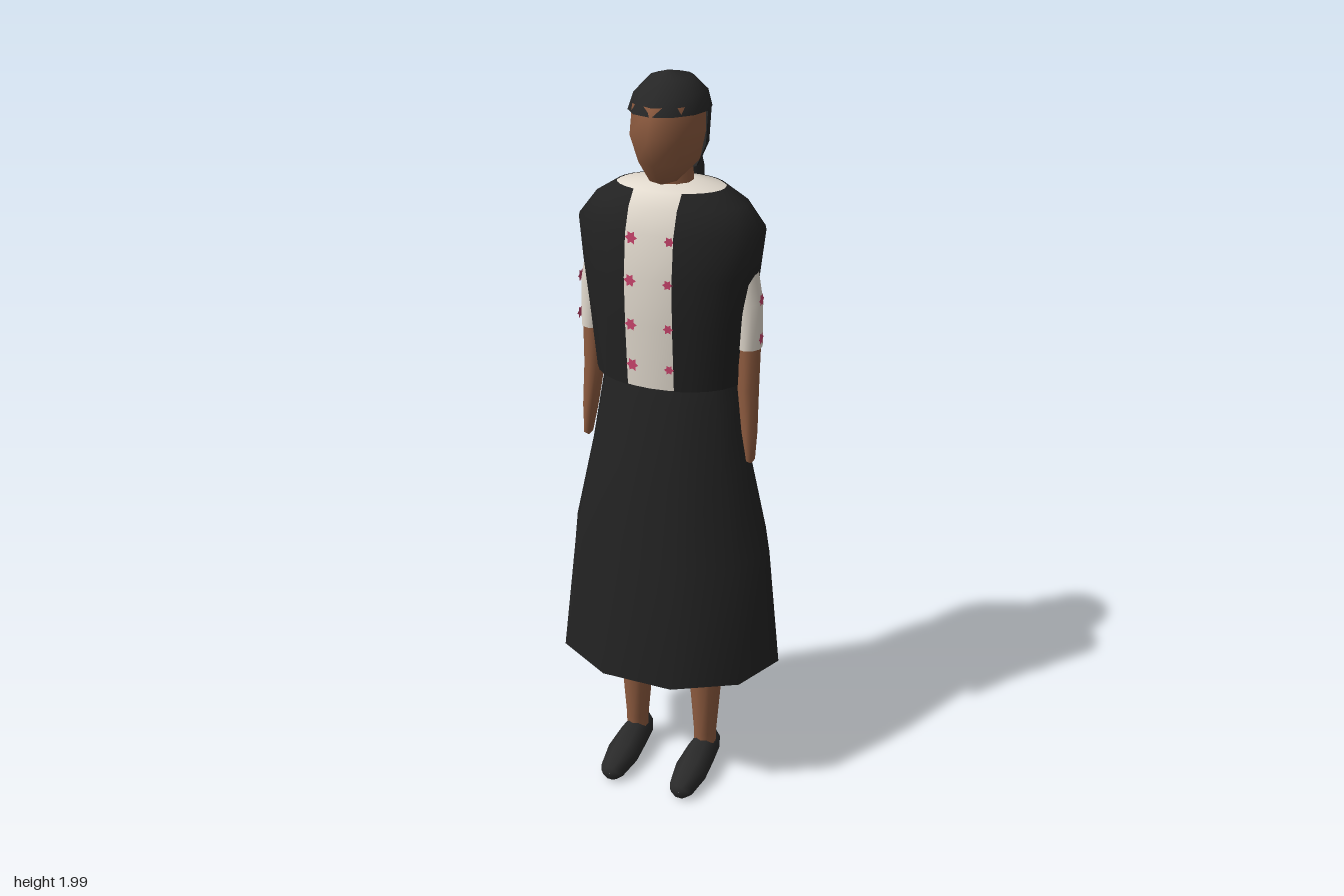
import * as THREE from 'three';

const mat = (name, color, side = THREE.FrontSide) => {
  const m = new THREE.MeshStandardMaterial({ color, side });
  m.name = name;
  return m;
};

// Smooth loft through rings [y, rx, zFront, zBack, cx, cz], from a0 to a1 (0 = front, toward +x)
function loft(rings, n = 12, a0 = 0, a1 = Math.PI * 2) {
  const closed = a1 - a0 > 6.28;
  const cols = closed ? n : n + 1;
  const pos = [], idx = [];
  for (const [y, rx, zf, zb, cx = 0, cz = 0] of rings) {
    // an opening may be given as a half-width, so that its edges run straight
    for (let i = 0; i < cols; i++) {
      const a = a0 + (a1 - a0) * i / n, c = Math.cos(a);
      pos.push(cx + rx * Math.sin(a), y, cz + (c > 0 ? zf : zb) * c);
    }
  }
  for (let j = 0; j < rings.length - 1; j++) {
    for (let i = 0; i < n; i++) {
      const k = (i + 1) % cols;
      const a = j * cols + i, b = j * cols + k, c = a + cols, d = b + cols;
      idx.push(a, b, d, a, d, c);
    }
  }
  const g = new THREE.BufferGeometry();
  g.setAttribute('position', new THREE.Float32BufferAttribute(pos, 3));
  g.setIndex(idx);
  g.computeVertexNormals();
  return g;
}

// Vest: front edges stay at a fixed half-width on every section
function openLoft(rings, half, n) {
  const g = loft(rings, n, 0, Math.PI * 2 - 0.01);
  const p = g.attributes.position;
  rings.forEach(([y, rx, zf, zb], j) => {
    const start = Math.asin(half / rx);
    for (let i = 0; i <= n; i++) {
      const a = start + (Math.PI * 2 - 2 * start) * i / n, c = Math.cos(a);
      p.setXYZ(j * (n + 1) + i, rx * Math.sin(a), y, (c > 0 ? zf : zb) * c);
    }
  });
  g.computeVertexNormals();
  return g;
}

// Small ragged blossom
function blossom(r) {
  const s = new THREE.Shape();
  for (let i = 0; i < 12; i++) {
    const q = i % 2 ? r * 0.6 : r, a = i * Math.PI / 6;
    s[i ? 'lineTo' : 'moveTo'](q * Math.cos(a), q * Math.sin(a));
  }
  return new THREE.ShapeGeometry(s);
}

export function createModel() {
  const group = new THREE.Group();
  const black = mat('blackCloth', 0x222222, THREE.DoubleSide);
  const hairMat = mat('hair', 0x262626, THREE.DoubleSide);
  const shoeMat = mat('shoe', 0x2a2a2a);
  const skin = mat('skin', 0x8f5c40);
  const white = mat('shirt', 0xe2dace, THREE.DoubleSide);
  const pink = mat('blossom', 0xc8446c, THREE.DoubleSide);
  const add = (name, geo, m) => {
    const mesh = new THREE.Mesh(geo, m);
    mesh.name = name;
    group.add(mesh);
    return mesh;
  };

  // Skirt, ten-sided and open at the hem
  const s = Math.PI / 10;
  add('skirt', loft([
    [0.41, 0.322, 0.255, 0.255], [0.75, 0.285, 0.208, 0.215], [1.0, 0.228, 0.17, 0.168],
    [1.18, 0.195, 0.132, 0.135], [1.24, 0.18, 0.118, 0.12],
  ], 10, s, s + Math.PI * 2), black);

  // Vest and the shirt inside it
  const torso = [
    [1.23, 0.2, 0.14, 0.15], [1.4, 0.217, 0.152, 0.155], [1.52, 0.232, 0.155, 0.155],
    [1.63, 0.245, 0.143, 0.15], [1.69, 0.198, 0.122, 0.135], [1.725, 0.14, 0.095, 0.108],
  ];
  add('vest', openLoft(torso, 0.063, 24), black);
  const inner = torso.map(([y, ...r]) => [y, ...r.map((v) => v * 0.97)]);
  add('shirt', loft([...inner, [1.735, 0.05, 0.045, 0.06]], 24), white);

  // Blossoms down the shirt front
  const flower = blossom(0.018);
  const depth = (y) => {
    const j = Math.max(0, inner.findIndex((r) => r[0] > y) - 1);
    return THREE.MathUtils.lerp(inner[j][2], inner[j + 1][2], (y - inner[j][0]) / (inner[j + 1][0] - inner[j][0]));
  };
  for (const y of [1.29, 1.4, 1.515, 1.62]) {
    for (const x of [-0.047, 0.053]) {
      const f = add('shirtBlossom', flower, pink);
      f.position.set(x, y, depth(y) * 0.975 + 0.004);
      f.rotation.y = x * 3;
      f.scale.setScalar(x < 0 ? 1 : 0.75);
    }
  }

  // Head, neck and hair
  add('neck', loft([[1.69, 0.058, 0.05, 0.068], [1.82, 0.05, 0.05, 0.06]], 10), skin);
  add('face', loft([
    [1.735, 0.001, 0.001, 0.001, 0, 0.06], [1.745, 0.035, 0.035, 0.05, 0, 0.05],
    [1.79, 0.075, 0.11, 0.06], [1.86, 0.09, 0.146, 0.08], [1.93, 0.09, 0.122, 0.08],
  ], 8), skin);
  add('hairCap', loft([
    [1.91, 0.099, 0.128, 0.105], [1.95, 0.087, 0.105, 0.1],
    [1.985, 0.052, 0.065, 0.06], [2.0, 0.001, 0.001, 0.001, 0, 0.015],
  ], 12), hairMat);
  add('hairBack', loft([
    [1.768, 0.035, 0, 0.03, 0, 0.005], [1.775, 0.07, 0, 0.085, 0, 0.01],
    [1.83, 0.094, 0, 0.11, 0, 0.01], [1.915, 0.099, 0, 0.115, 0, 0.01],
  ], 10, Math.PI / 2, Math.PI * 1.5), hairMat);
  add('ponytail', loft([
    [1.475, 0.002, 0.002, 0.002, 0, -0.158], [1.52, 0.016, 0.012, 0.012, 0, -0.159],
    [1.62, 0.028, 0.02, 0.02, 0, -0.152], [1.74, 0.034, 0.025, 0.025, 0, -0.136],
    [1.8, 0.028, 0.022, 0.022, 0, -0.118], [1.82, 0.002, 0.002, 0.002, 0, -0.112],
  ], 8), hairMat);

  for (const k of [1, -1]) {
    // Sleeve with two blossoms, and forearm
    add('sleeve', loft([
      [1.33, 0.033, 0.04, 0.04, k * 0.215, 0.005], [1.45, 0.038, 0.042, 0.042, k * 0.208, 0.005],
      [1.55, 0.038, 0.042, 0.042, k * 0.19, 0.005],
    ], 10), white);
    for (const [x, y, z] of [[0.25, 1.36, 0.016], [0.247, 1.46, 0.012]]) {
      const f = add('sleeveBlossom', flower, pink);
      f.position.set(k * x, y, z);
      f.rotation.y = k * Math.PI / 2;
    }
    add('arm', loft([
      [1.015, 0.003, 0.005, 0.005, k * 0.232, 0.022], [1.025, 0.011, 0.02, 0.018, k * 0.232, 0.022],
      [1.1, 0.02, 0.027, 0.024, k * 0.226, 0.018], [1.22, 0.027, 0.033, 0.033, k * 0.216, 0.008],
      [1.35, 0.03, 0.037, 0.037, k * 0.214, 0.005],
    ], 10), skin);

    // Leg
    add('leg', loft([
      [0.07, 0.031, 0.035, 0.035, k * 0.107], [0.12, 0.032, 0.036, 0.036, k * 0.107],
      [0.41, 0.054, 0.056, 0.066, k * 0.105], [0.8, 0.075, 0.075, 0.085, k * 0.095],
    ], 10), skin);

    // Shoe, lofted heel to toe
    const shoe = loft([
      [-0.042, 0.001, 0.001, 0.001, 0, -0.05], [-0.04, 0.034, 0.045, 0.055, 0, -0.052],
      [0.03, 0.042, 0.045, 0.055, 0, -0.05], [0.11, 0.048, 0.04, 0.038, 0, -0.045],
      [0.185, 0.036, 0.03, 0.027, 0, -0.037], [0.2, 0.024, 0.022, 0.02, 0, -0.036],
      [0.202, 0.001, 0.001, 0.001, 0, -0.036],
    ], 8, Math.PI / 8, Math.PI * 2 + Math.PI / 8);
    shoe.rotateX(Math.PI / 2);
    shoe.translate(k * 0.107, 0, 0);
    add('shoe', shoe, shoeMat);
  }
  return group;
}
